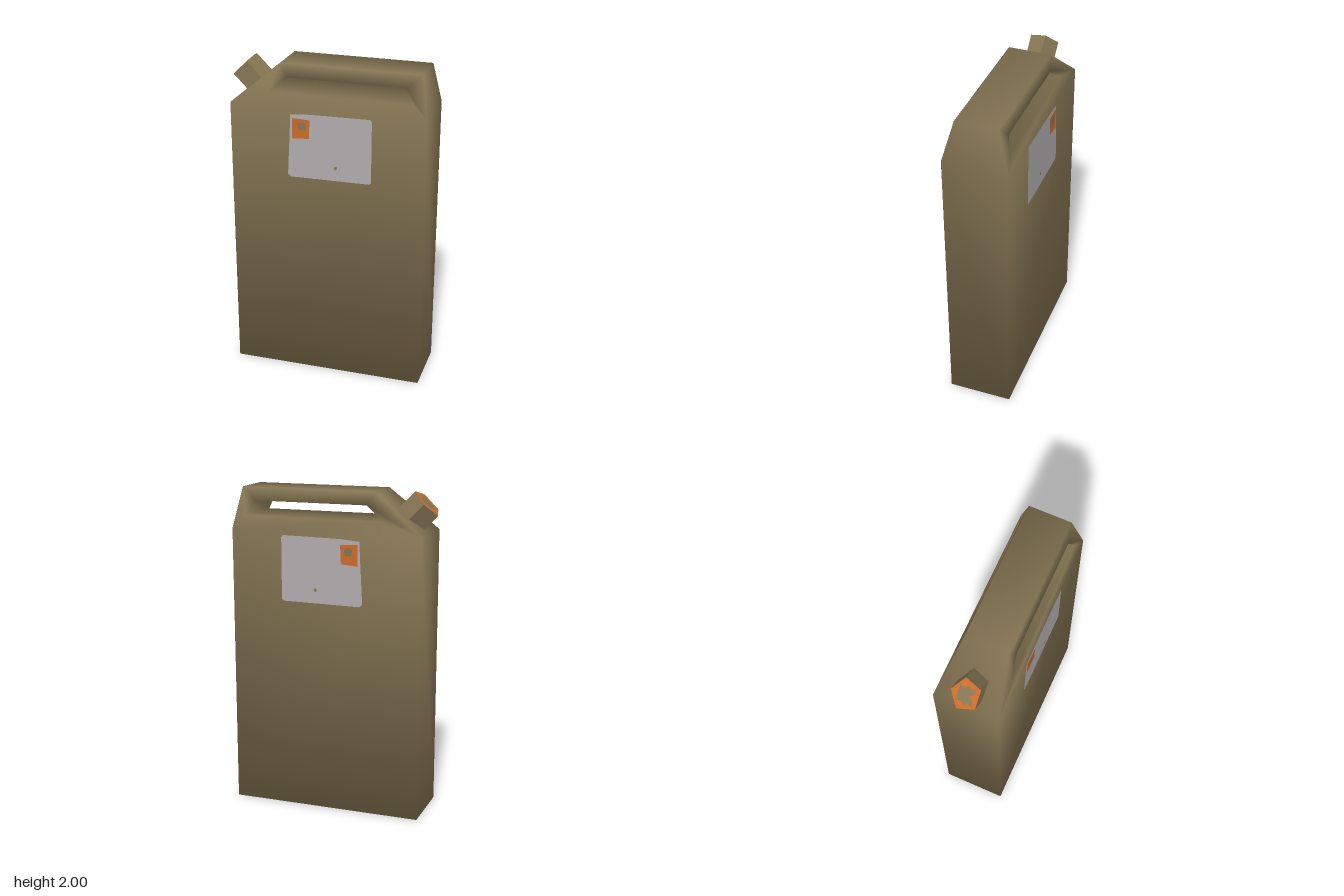
import * as THREE from 'three';

const mat = (name, color) => {
  const m = new THREE.MeshStandardMaterial({ color });
  m.name = name;
  return m;
};

const add = (parent, name, geometry, material) => {
  const mesh = new THREE.Mesh(geometry, material);
  mesh.name = name;
  parent.add(mesh);
  return mesh;
};

const polygon = (points) =>
  new THREE.ShapeGeometry(new THREE.Shape(points.map(([x, y]) => new THREE.Vector2(x, y))));

// Outline of the can: base, shoulder and top, then the handle opening
const PROFILE = [
  [-0.58, 0], [0.625, 0],
  [-0.58, 1.75], [0.625, 1.75], [0.58, 2], [-0.28, 2],
  [-0.34, 1.83], [0.54, 1.83], [0.49, 1.92], [-0.23, 1.92],
];
const HALF_DEPTH = 0.197;
const halfDepthAt = (y) => HALF_DEPTH - Math.max(0, y - 1.75) * 0.268;

// Can body, with smooth normals shared across all edges
function bodyGeometry() {
  const n = PROFILE.length;
  const points = [1, -1].flatMap((side) =>
    PROFILE.map(([x, y]) => new THREE.Vector3(x, y, side * halfDepthAt(y))));

  // front and back: large panel plus the ring around the handle opening
  const front = [[0, 1, 3, 2]];
  for (let i = 0; i < 4; i++) {
    const j = (i + 1) % 4;
    front.push([2 + i, 2 + j, 6 + j, 6 + i]);
  }
  const quads = [...front, ...front.map((q) => q.map((i) => i + n).reverse())];

  // outer walls and walls of the opening
  const wall = (loop, inward) => loop.forEach((a, i) => {
    const b = loop[(i + 1) % loop.length];
    quads.push(inward ? [a, b, b + n, a + n] : [b, a, a + n, b + n]);
  });
  wall([0, 1, 3, 4, 5, 2], false);
  wall([6, 7, 8, 9], true);

  // every face counts equally in the corner normals
  const normals = points.map(() => new THREE.Vector3());
  const index = [];
  for (const [a, b, c, d] of quads) {
    const u = points[c].clone().sub(points[a]);
    const v = points[d].clone().sub(points[b]);
    const normal = u.cross(v).normalize();
    [a, b, c, d].forEach((i) => normals[i].add(normal));
    index.push(a, b, c, a, c, d);
  }
  normals.forEach((v) => v.normalize());

  const g = new THREE.BufferGeometry();
  const flat = (list) => new THREE.Float32BufferAttribute(list.flatMap((v) => v.toArray()), 3);
  g.setAttribute('position', flat(points));
  g.setAttribute('normal', flat(normals));
  g.setIndex(index);
  return g;
}

export function createModel() {
  const model = new THREE.Group();
  model.name = 'fuelCan';
  const olive = mat('olive', 0x857553);
  const orange = mat('orange', 0xcc6a2a);
  const grey = mat('label grey', 0xb0acae);

  add(model, 'body', bodyGeometry(), olive);

  // Five-sided spout cap, tilted outwards
  const cap = new THREE.Group();
  cap.name = 'spoutCap';
  cap.position.set(-0.56, 1.93, 0);
  cap.rotation.z = Math.PI / 4;
  model.add(cap);
  const height = 0.2;
  const prism = new THREE.CylinderGeometry(1, 1, height, 5)
    .rotateY(Math.PI).scale(0.104, 1, 0.089).translate(0, -height / 2, 0).toNonIndexed();
  prism.computeVertexNormals();
  add(cap, 'capPrism', prism, [olive, orange, olive]);

  // Painted emblem on the cap end
  const half = [[0.05, 0.045], [0.042, 0.012], [0.066, -0.005], [0.042, -0.02],
    [0.058, -0.048], [0.028, -0.048]];
  const emblem = [[0, 0.048], ...half, [0, -0.025],
    ...half.map(([x, y]) => [-x, y]).reverse()];
  add(cap, 'capEmblem', polygon(emblem).rotateX(-Math.PI / 2).translate(0, 0.002, 0), olive);

  // Labels on both broad faces, mirrored so the orange patch stays near the spout
  for (const side of [1, -1]) {
    const label = new THREE.Group();
    label.name = side > 0 ? 'frontLabel' : 'backLabel';
    label.position.z = side * HALF_DEPTH;
    if (side < 0) label.rotation.y = Math.PI;
    model.add(label);
    const paint = (name, points, lift, material) =>
      add(label, name, polygon(points.map(([x, y]) => [x * side, y])).translate(0, 0, lift), material);

    paint('labelSheet', [[-0.22, 1.33], [-0.2, 1.315], [0.29, 1.32], [0.3, 1.33], [0.3, 1.71],
      [0.29, 1.725], [-0.08, 1.72], [-0.2, 1.71]], 0.002, grey);
    paint('orangePatch', [[-0.19, 1.56], [-0.085, 1.57], [-0.08, 1.685], [-0.19, 1.69]], 0.004, orange);
    paint('patchMark', [[-0.15, 1.62], [-0.11, 1.62], [-0.105, 1.66], [-0.13, 1.67], [-0.158, 1.66]],
      0.006, olive);
    const dot = new THREE.CircleGeometry(0.011, 8).translate(0.08 * side, 1.4, 0.004);
    add(label, 'labelDot', dot, olive);
  }

  return model;
}
